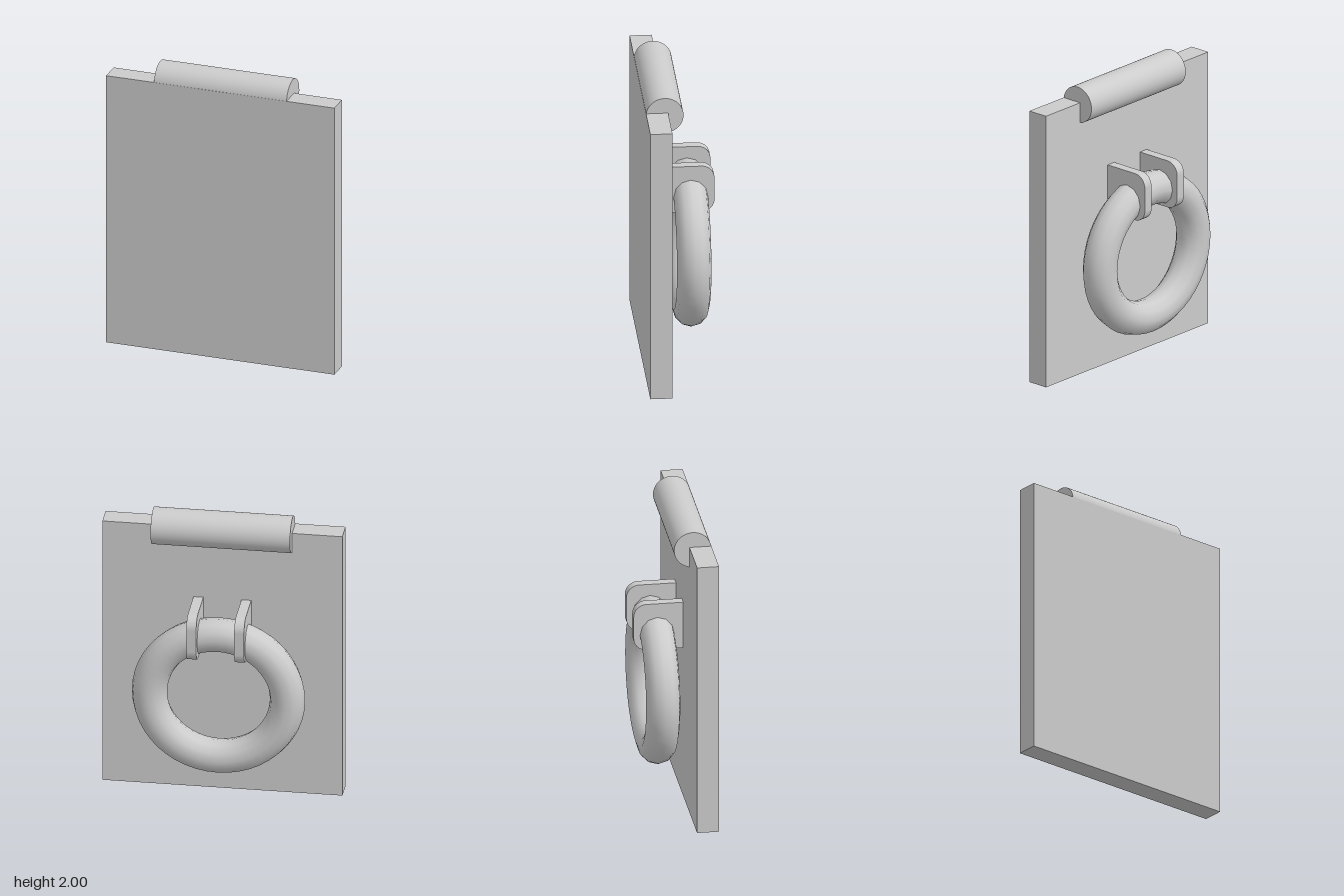
import * as THREE from 'three';
import { toCreasedNormals } from 'three/addons/utils/BufferGeometryUtils.js';

export function createModel() {
  const group = new THREE.Group();
  const material = new THREE.MeshStandardMaterial({ color: 0xcccccc });

  function add(name, geometry, x, y, z) {
    const mesh = new THREE.Mesh(geometry, material);
    mesh.name = name;
    mesh.position.set(x, y, z);
    group.add(mesh);
    return mesh;
  }

  // Flat plate
  add('plate', new THREE.BoxGeometry(1.584, 1.895, 0.145), 0, 0.9475, 0.1645);

  // Hinge barrel along the top edge
  const barrel = new THREE.CylinderGeometry(0.123, 0.123, 0.92, 48).rotateZ(Math.PI / 2);
  add('hingeBarrel', barrel, 0, 1.877, 0.114);

  // Pull ring hanging behind the plate, slightly wider than tall
  const ring = new THREE.TorusGeometry(0.442, 0.113, 12, 48).scale(1.03, 1, 1);
  add('pullRing', ring, 0, 0.765, -0.08);

  // Bracket profile: u runs outward from the plate, v is height
  const depth = 0.329, low = 1.06, high = 1.385, r = 0.085;
  const profile = new THREE.Shape();
  profile.moveTo(0, low);
  profile.lineTo(depth - r, low);
  profile.absarc(depth - r, low + r, r, -Math.PI / 2, 0, false);
  profile.lineTo(depth, high - r);
  profile.absarc(depth - r, high - r, r, 0, Math.PI / 2, false);
  profile.lineTo(0, high);
  profile.closePath();

  // Pair of brackets holding the ring
  const width = 0.065;
  const extruded = new THREE.ExtrudeGeometry(profile, { depth: width, bevelEnabled: false, curveSegments: 8 });
  const bracket = toCreasedNormals(extruded.translate(0, 0, -width / 2).rotateY(Math.PI / 2), 0.6);
  for (const side of [-1, 1]) {
    add(side > 0 ? 'leftBracket' : 'rightBracket', bracket, side * 0.158, 0, 0.094);
  }

  return group;
}
